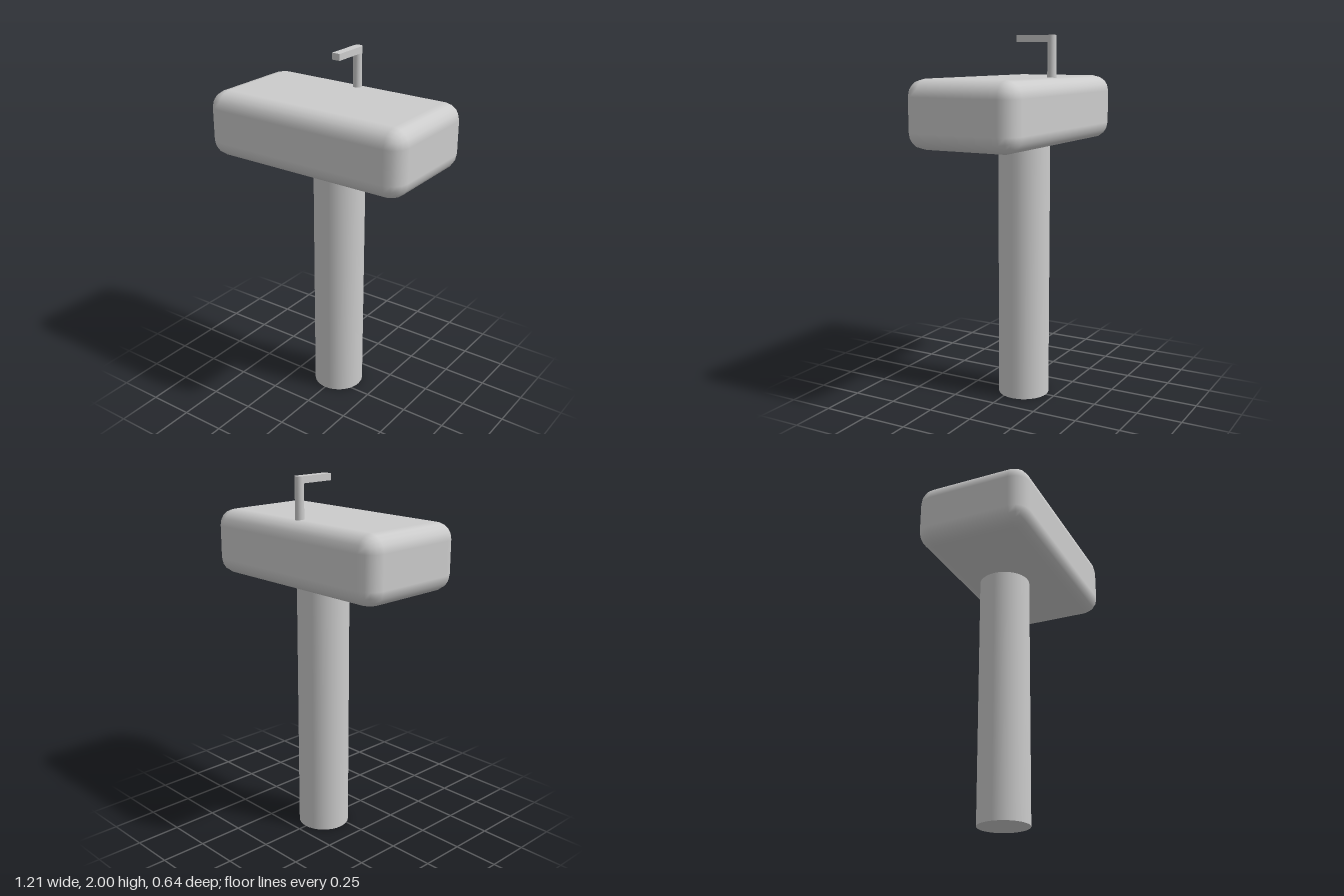
import * as THREE from 'three';
import { RoundedBoxGeometry } from 'three/addons/geometries/RoundedBoxGeometry.js';

export function createModel() {
  const group = new THREE.Group();
  const material = new THREE.MeshStandardMaterial({ color: 0xcccccc });

  const add = (name, geometry, x, y, z) => {
    const mesh = new THREE.Mesh(geometry, material);
    mesh.name = name;
    mesh.position.set(x, y, z);
    group.add(mesh);
  };

  // Pedestal column, set slightly towards the back
  add('pedestal', new THREE.CylinderGeometry(0.142, 0.142, 1.44, 32), 0, 0.72, -0.058);

  // Solid rounded basin block
  add('basin', new RoundedBoxGeometry(1.21, 0.36, 0.645, 2, 0.09), 0, 1.6, 0);

  // Tap: upright pipe and a flat spout reaching forwards
  add('tapPipe', new THREE.CylinderGeometry(0.024, 0.024, 0.24, 24), 0, 1.88, -0.222);
  add('tapSpout', new THREE.BoxGeometry(0.048, 0.036, 0.2), 0, 1.982, -0.122);

  return group;
}
